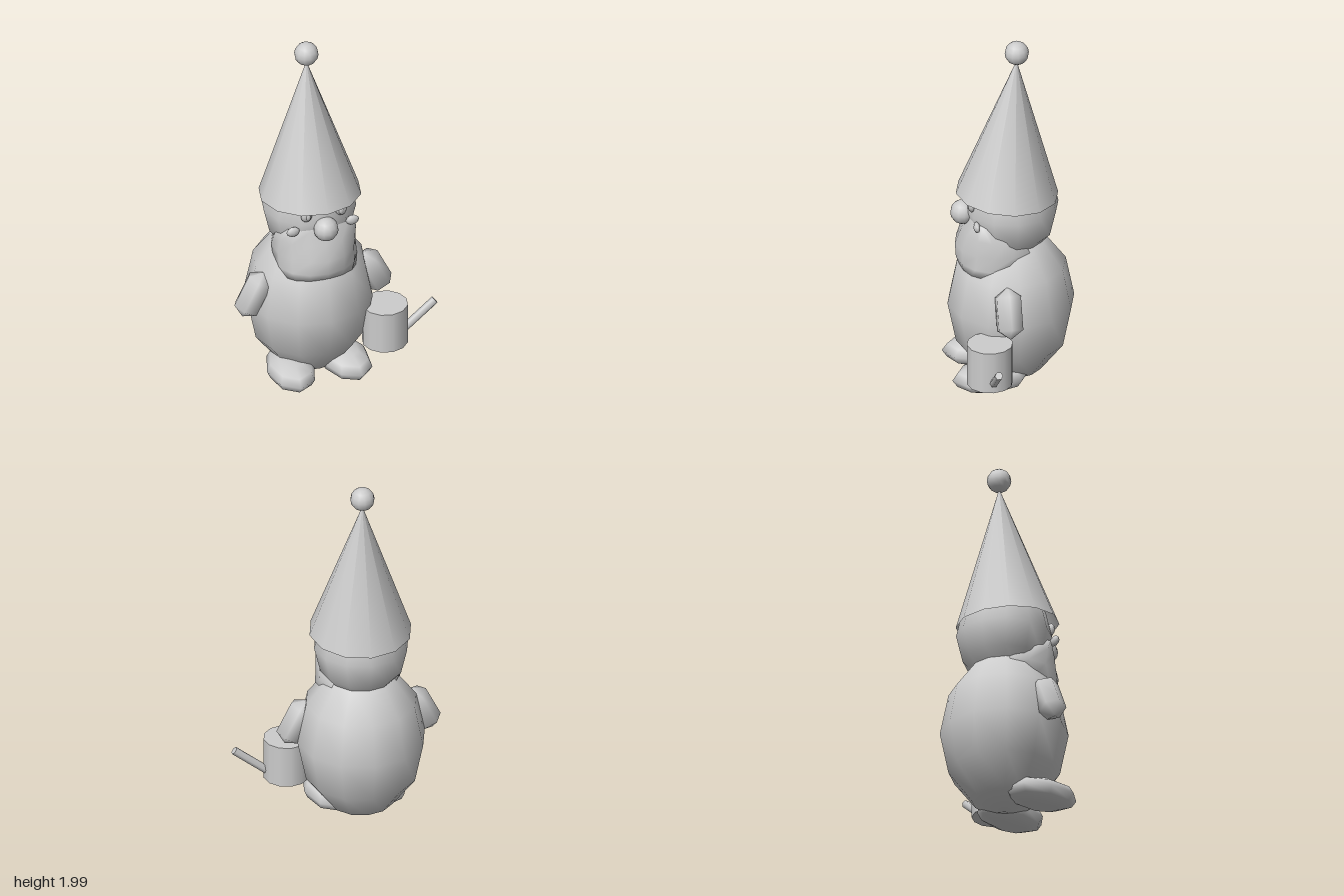
import * as THREE from 'three';

const stone = new THREE.MeshStandardMaterial({ color: 0xcccccc, side: THREE.DoubleSide });
stone.name = 'stone';

const CX = -0.11; // the figure stands left of the can, so its mid-plane is off centre

function add(parent, name, geometry, x, y, z) {
  const mesh = new THREE.Mesh(geometry, stone);
  mesh.name = name;
  mesh.position.set(x, y, z);
  parent.add(mesh);
  return mesh;
}

function ellipsoid(rx, ry, rz, w = 12, h = 6) {
  return new THREE.SphereGeometry(1, w, h).scale(rx, ry, rz);
}

// Rounded beard from stacked oval sections: [y, half width, centre z, front z]
function beardGeometry() {
  const rows = [
    [1.03, 0.04, 0.2, 0.225], [0.985, 0.18, 0.16, 0.24], [0.91, 0.222, 0.1, 0.265],
    [0.82, 0.225, 0.07, 0.3], [0.74, 0.225, 0.1, 0.295], [0.7, 0.2, 0.17, 0.28],
    [0.685, 0.09, 0.19, 0.25],
  ];
  const n = 14, pos = [], idx = [];
  for (const [y, w, zc, zf] of rows) {
    for (let i = 0; i < n; i++) {
      const a = (i / n) * Math.PI * 2;
      pos.push(w * Math.sin(a), y, zc + (zf - zc) * Math.cos(a));
    }
  }
  for (let r = 0; r < rows.length - 1; r++) {
    for (let i = 0; i < n; i++) {
      const a = r * n + i, b = r * n + (i + 1) % n;
      idx.push(a, a + n, b, b, a + n, b + n);
    }
  }
  const last = (rows.length - 1) * n;
  for (let i = 1; i < n - 1; i++) {
    idx.push(0, i, i + 1, last, last + i + 1, last + i);
  }
  const g = new THREE.BufferGeometry();
  g.setAttribute('position', new THREE.Float32BufferAttribute(pos, 3));
  g.setIndex(idx);
  g.computeVertexNormals();
  return g;
}

export function createModel() {
  const model = new THREE.Group();
  model.name = 'gardenGnome';

  // Body and head
  add(model, 'body', ellipsoid(0.345, 0.45, 0.34), CX, 0.46, 0);
  add(model, 'head', ellipsoid(0.255, 0.29, 0.255), CX, 1.03, 0);
  add(model, 'beard', beardGeometry(), CX, 0, 0);
  add(model, 'nose', ellipsoid(0.067, 0.067, 0.067, 12, 8), CX, 1.005, 0.258);

  // Tall hat, leaning slightly back, with a bobble
  const hat = add(model, 'hat', new THREE.ConeGeometry(0.275, 0.79, 12, 1, true), CX, 1.495, -0.005);
  hat.rotation.x = -0.066;
  add(model, 'hatBobble', ellipsoid(0.065, 0.065, 0.065, 12, 8), CX, 1.935, -0.032);

  // Barrel-shaped arm profile
  const armProfile = [[0, -0.14], [0.075, -0.09], [0.075, 0.09], [0, 0.14]]
    .map(([x, y]) => new THREE.Vector2(x, y));

  for (const s of [-1, 1]) {
    const side = s > 0 ? 'left' : 'right';
    add(model, side + 'Eye', ellipsoid(0.033, 0.036, 0.018, 8, 6), CX + s * 0.098, 1.09, 0.228);
    add(model, side + 'Pupil', ellipsoid(0.014, 0.02, 0.008, 8, 6), CX + s * 0.093, 1.088, 0.242);
    add(model, side + 'Cheek', ellipsoid(0.038, 0.028, 0.018, 8, 6), CX + s * 0.168, 0.995, 0.21);

    const arm = add(model, side + 'Arm', new THREE.LatheGeometry(armProfile, 6, Math.PI / 2),
      CX + s * 0.338, 0.555, 0.065);
    arm.rotation.z = s * 0.46;

    const foot = add(model, side + 'Foot', ellipsoid(0.13, 0.08, 0.21, 8, 6), CX + s * 0.152, 0.086, 0.133);
    foot.rotation.y = s * 0.1;
  }

  // Watering can with a six-sided spout
  const can = new THREE.Group();
  can.name = 'wateringCan';
  model.add(can);
  add(can, 'canBody', new THREE.CylinderGeometry(0.123, 0.123, 0.235, 12), 0.257, 0.283, 0.173);
  const spout = add(can, 'spout', new THREE.CylinderGeometry(0.022, 0.022, 0.25, 6), 0.443, 0.277, 0.17);
  spout.rotation.z = -0.9;

  return model;
}
